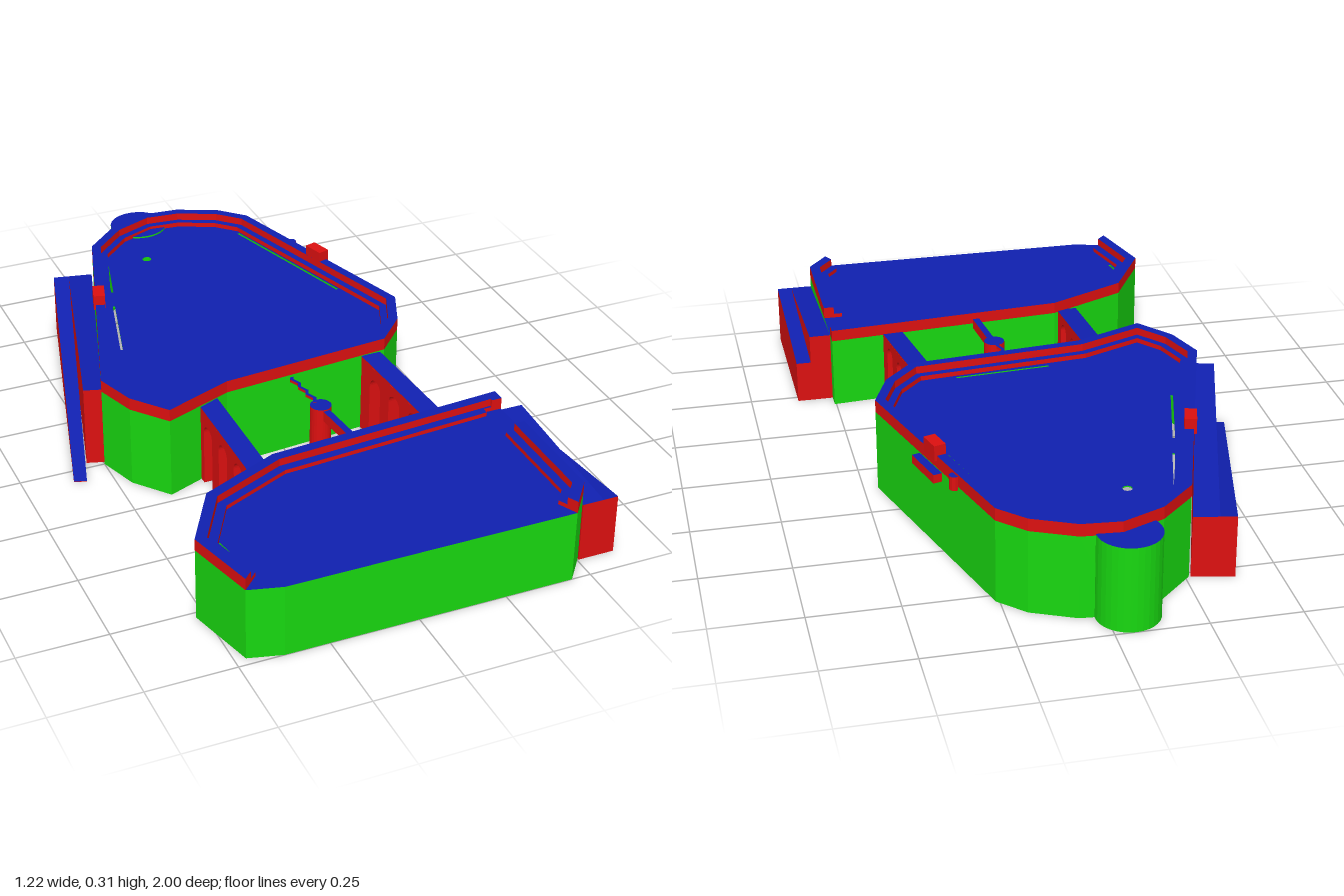
import * as THREE from 'three';

const paint = (color) => new THREE.MeshStandardMaterial({ color, flatShading: true, side: THREE.DoubleSide });
const red = paint(0xdd1010), green = paint(0x18d810), blue = paint(0x1020b0);

// Plan points are [x, z]; shapes are drawn in (x, -z) and raised along y.
const toVec = (pts) => pts.map(([x, z]) => new THREE.Vector2(x, -z));

// Moves every edge of a closed plan outline inwards by d.
function inset(pts, d) {
  const n = pts.length;
  const s = THREE.ShapeUtils.area(toVec(pts)) > 0 ? 1 : -1;
  return pts.map((p, i) => {
    const a = pts[(i + n - 1) % n], b = pts[(i + 1) % n];
    const normal = (q, r) => {
      const l = Math.hypot(r[0] - q[0], r[1] - q[1]);
      return [s * (r[1] - q[1]) / l, -s * (r[0] - q[0]) / l];
    };
    const m = normal(a, p), k = normal(p, b);
    const f = d / (1 + m[0] * k[0] + m[1] * k[1]);
    return [p[0] + (m[0] + k[0]) * f, p[1] + (m[1] + k[1]) * f];
  });
}

// Upright slab between y0 and y1 with separate cap and side colours.
function slab(name, outline, holes, y0, y1, cap, side) {
  const shape = new THREE.Shape(toVec(outline));
  shape.holes = holes.map((h) => new THREE.Path(toVec(h)));
  const geo = new THREE.ExtrudeGeometry(shape, { depth: y1 - y0, bevelEnabled: false });
  geo.rotateX(-Math.PI / 2).translate(0, y0, 0);
  const mesh = new THREE.Mesh(geo, [cap, side]);
  mesh.name = name;
  return mesh;
}

// Thin rectangular opening between two plan points.
function slit([x0, z0], [x1, z1], w = 0.007) {
  const l = Math.hypot(x1 - x0, z1 - z0);
  const a = -(z1 - z0) / l * w / 2, b = (x1 - x0) / l * w / 2;
  return [[x0 + a, z0 + b], [x1 + a, z1 + b], [x1 - a, z1 - b], [x0 - a, z0 - b]];
}

// Block with sloping top; corners [x, z, top, bottom]: back -x, back +x, front -x, front +x.
function ramp(name, corners) {
  const geo = new THREE.BoxGeometry(1, 1, 1);
  const p = geo.attributes.position;
  for (let i = 0; i < p.count; i++) {
    const c = corners[(p.getZ(i) > 0 ? 2 : 0) + (p.getX(i) > 0 ? 1 : 0)];
    p.setXYZ(i, c[0], p.getY(i) > 0 ? c[2] : c[3] ?? 0, c[1]);
  }
  geo.computeVertexNormals();
  const mesh = new THREE.Mesh(geo, [red, red, blue, red, red, red]);
  mesh.name = name;
  return mesh;
}

function block(name, size, pos, turn = 0, top = red) {
  const mesh = new THREE.Mesh(new THREE.BoxGeometry(...size), [red, red, top, red, red, red]);
  mesh.position.set(...pos);
  mesh.rotation.y = turn;
  mesh.name = name;
  return mesh;
}

function column(name, r, h, x, z, side, sides = 24) {
  const mesh = new THREE.Mesh(new THREE.CylinderGeometry(r, r, h, sides), [side, blue, blue]);
  mesh.position.set(x, h / 2, z);
  mesh.name = name;
  return mesh;
}

// Hollow base: wall ring, open below, closed by a thin floor.
function platform(name, outline, y, slits) {
  const g = new THREE.Group();
  g.name = name;
  g.add(slab('wall', outline, [inset(outline, 0.012)], 0, y - 0.004, green, green));
  g.add(slab('floor', outline, slits, y - 0.004, y, blue, green));
  return g;
}

// Bridge on three round arches with a sloping deck.
function bridge(name, [x0, z0], [x1, z1], yBack, yFront) {
  const g = new THREE.Group();
  g.name = name;
  const len = Math.hypot(x1 - x0, z1 - z0), w = 0.06, r = 0.028;
  const shape = new THREE.Shape();
  shape.moveTo(0, 0);
  for (let i = 0; i < 3; i++) {
    const c = 0.075 + i * (len - 0.155) / 2;
    shape.lineTo(c - r, 0);
    shape.lineTo(c - r, 0.165);
    shape.absarc(c, 0.165, r, Math.PI, 0, true);
    shape.lineTo(c + r, 0);
  }
  shape.lineTo(len, 0);
  shape.lineTo(len, yFront - 0.004);
  shape.lineTo(0, yBack - 0.004);
  const geo = new THREE.ExtrudeGeometry(shape, { depth: w, bevelEnabled: false, curveSegments: 8 });
  const arches = new THREE.Mesh(geo.translate(0, 0, -w / 2), red);
  arches.name = 'arches';
  arches.position.set(x0, 0, z0);
  arches.rotation.y = Math.atan2(-(z1 - z0), x1 - x0);
  const h = w / 2;
  g.add(arches, ramp('deck', [
    [x0 - h, z0, yBack, yBack - 0.004], [x0 + h, z0, yBack, yBack - 0.004],
    [x1 - h, z1, yFront, yFront - 0.004], [x1 + h, z1, yFront, yFront - 0.004]]));
  return g;
}

export function createModel() {
  const model = new THREE.Group();
  model.name = 'fort';

  // Rear platform with a full parapet and inner step
  const rear = [[-0.38, 0.22], [-0.46, 0.12], [-0.5, 0], [-0.26, -0.77], [-0.16, -0.865], [-0.04, -0.915],
    [0.07, -0.905], [0.19, -0.85], [0.26, -0.78], [0.46, -0.115], [0.41, 0.005], [0.325, 0.095], [-0.18, 0.14]];
  const drain = [];
  for (let i = 0; i < 10; i++) {
    const a = i * Math.PI / 5;
    drain.push([-0.11 + 0.014 * Math.cos(a), -0.69 + 0.014 * Math.sin(a)]);
  }
  const rearBase = platform('rearPlatform', rear, 0.24, [drain,
    slit([-0.225, -0.74], [-0.28, -0.53]), slit([-0.305, -0.445], [-0.37, -0.195]),
    slit([0.215, -0.74], [0.35, -0.285]), slit([-0.075, 0.065], [0.2, 0.047])]);
  const rearEdge = inset(rear, 0.027);
  rearBase.add(slab('parapet', rear, [rearEdge], 0.24, 0.276, blue, red));
  rearBase.add(slab('parapetStep', rearEdge, [inset(rear, 0.047)], 0.24, 0.254, blue, red));
  model.add(rearBase);

  // Front platform, open along the front and at the ramp head
  const front = [[-0.375, 1], [-0.47, 0.975], [-0.523, 0.77], [-0.42, 0.59], [-0.19, 0.485], [0.505, 0.43],
    [0.505, 0.47], [0.505, 0.6], [0.505, 0.925], [0.445, 1]];
  const frontBase = platform('frontPlatform', front, 0.21, [slit([-0.456, 0.765], [-0.448, 0.81])]);
  const edges = [front, inset(front, 0.03), inset(front, 0.055)];
  for (const [from, to] of [[1, 7], [7, 10]]) {
    const strip = (a, b) => [...edges[a].slice(from, to), ...edges[b].slice(from, to).reverse()];
    frontBase.add(slab('parapet', strip(0, 1), [], 0.21, 0.244, blue, red));
    frontBase.add(slab('parapetStep', strip(1, 2), [], 0.21, 0.222, blue, red));
  }
  model.add(frontBase);

  // Round tower at the back
  model.add(column('roundTower', 0.087, 0.245, -0.057, -0.913, green, 32));

  // Folded ramp on the left of the front platform
  model.add(ramp('frontUpperRamp', [[0.505, 0.475, 0.21], [0.567, 0.475, 0.21], [0.505, 0.93, 0.175], [0.567, 0.93, 0.175]]));
  model.add(ramp('frontLowerRamp', [[0.567, 0.475, 0.125], [0.61, 0.475, 0.125], [0.567, 0.93, 0.175], [0.61, 0.93, 0.175]]));

  // Folded ramp on the right of the rear platform, down to the ground
  model.add(ramp('rearUpperRamp', [[-0.335, -0.785, 0.18], [-0.265, -0.77, 0.18], [-0.545, -0.025, 0.24], [-0.495, -0.01, 0.24]]));
  model.add(ramp('rearLowerRamp', [[-0.38, -0.795, 0.18], [-0.335, -0.785, 0.18], [-0.61, 0.055, 0.002], [-0.575, 0.065, 0.002]]));

  // Arched bridges
  model.add(bridge('rightBridge', [-0.245, 0.15], [-0.232, 0.505], 0.238, 0.211));
  model.add(bridge('leftBridge', [0.28, 0.1], [0.32, 0.455], 0.238, 0.211));

  // Middle crossing: pillar, narrow beam and loose planks
  model.add(column('pillar', 0.03, 0.23, 0.04, 0.287, red));
  model.add(ramp('narrowBeam', [[0.033, 0.3, 0.226, 0.195], [0.053, 0.3, 0.226, 0.195], [0.05, 0.47, 0.224, 0.195], [0.07, 0.47, 0.224, 0.195]]));
  for (let i = 0; i < 7; i++) {
    model.add(block('plank', [0.009, 0.008, 0.026], [0.023 + i * 0.002, 0.228, 0.125 + i * 0.022], i % 2 ? 0.4 : -0.4, blue));
  }

  // Posts on both sides of the rear parapet
  for (const side of [-1, 1]) {
    model.add(block('parapetPost', [0.034, 0.045, 0.064], [side * 0.352, 0.2835, -0.44], side * 0.28));
  }

  // Small fittings outside the left wall
  model.add(block('wallBracket', [0.03, 0.025, 0.13], [0.372, 0.225, -0.44], 0.28, blue));
  const peg = column('wallPeg', 0.015, 0.04, 0.325, -0.575, red, 10);
  peg.position.y = 0.25;
  model.add(peg);

  return model;
}
